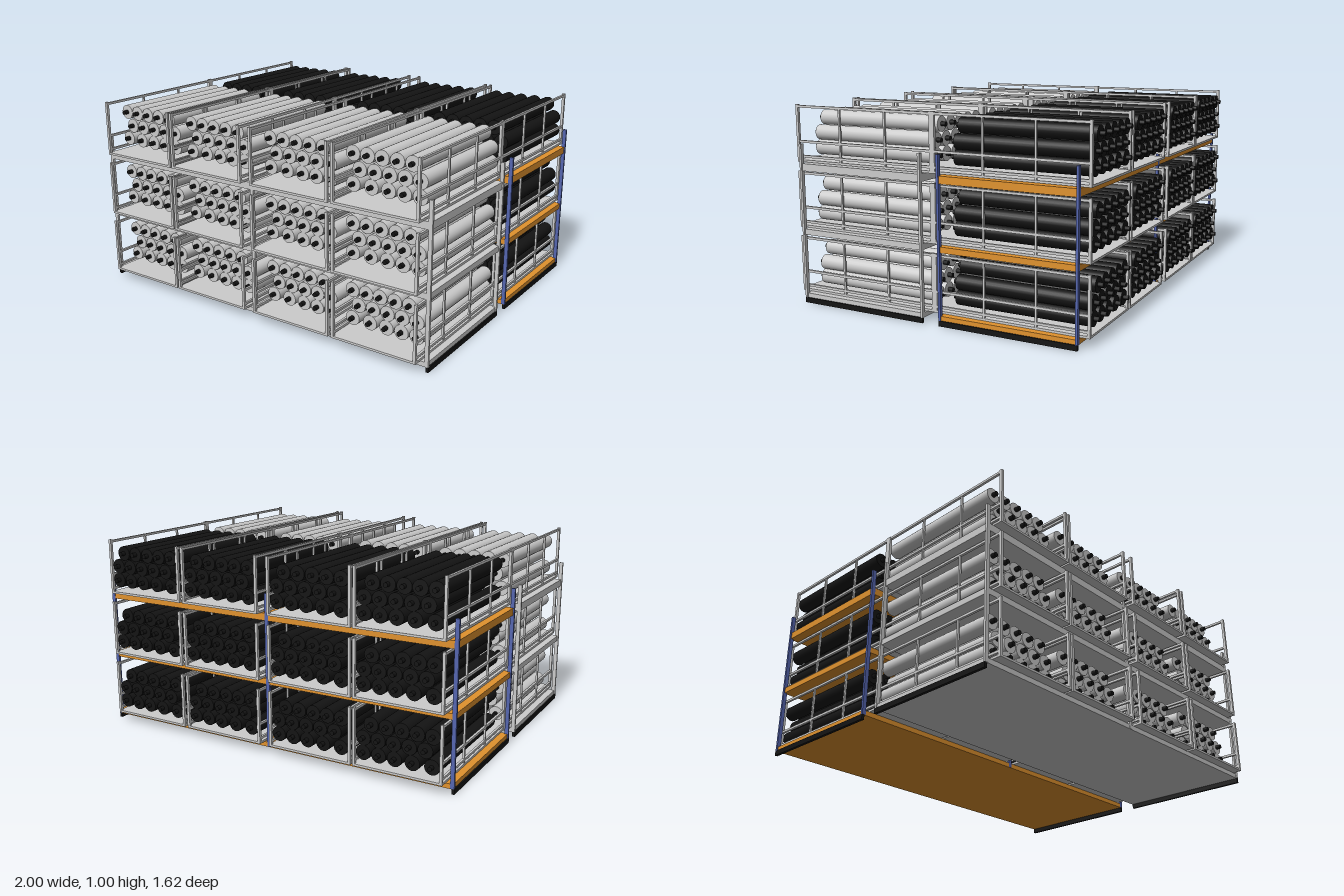
import * as THREE from 'three';
import { mergeGeometries } from 'three/addons/utils/BufferGeometryUtils.js';

const mat = (color) => new THREE.MeshStandardMaterial({ color });
const grey = mat(0xcccccc);
const black = mat(0x141414);
const orange = mat(0xe0922e);
const blue = mat(0x5566b0);

// Box given by its lower and upper corners
function block(x0, x1, y0, y1, z0, z1) {
  return new THREE.BoxGeometry(x1 - x0, y1 - y0, z1 - z0)
    .translate((x0 + x1) / 2, (y0 + y1) / 2, (z0 + z1) / 2);
}

function part(name, geometry, material) {
  const mesh = new THREE.Mesh(geometry, material);
  mesh.name = name;
  return mesh;
}

// Pipe rows: height above the cradle base and x offsets from the cradle centre
const ROWS = [
  { y: 0.076, xs: [-0.176, -0.079, 0.011, 0.092, 0.173] },
  { y: 0.149, xs: [-0.142, -0.063, 0.016, 0.095, 0.172] },
  { y: 0.220, xs: [-0.178, -0.101, -0.025, 0.054, 0.132] },
];

// Lying cylinders at every pipe position
function bundle(radius, length, sides) {
  const base = new THREE.CylinderGeometry(radius, radius, length, sides).rotateX(Math.PI / 2);
  const all = [];
  for (const { y, xs } of ROWS) for (const x of xs) all.push(base.clone().translate(x, y, 0));
  return mergeGeometries(all);
}

// Open-ended cradle, 0.8 long, standing on y = 0
const W = 0.229, L = 0.4, T = 0.014;
function cradleFrame() {
  const g = [block(-W, W, 0, 0.011, -L, L)];
  for (const s of [-1, 1]) {
    const xo = s * W, xi = s * (W - T);
    const a = Math.min(xo, xi), b = Math.max(xo, xi);
    // Corner posts and slimmer posts between
    for (const e of [-1, 1]) {
      const z = e * (L - T / 2);
      g.push(block(a, b, 0, 0.286, z - T / 2, z + T / 2));
      g.push(block(a + 0.002, b - 0.002, 0, 0.276, e * 0.133 - 0.005, e * 0.133 + 0.005));
    }
    // Side rails
    for (const y of [0.028, 0.102, 0.276]) {
      g.push(block(a + 0.001, b - 0.001, y - 0.006, y + 0.006, -L + T, L - T));
    }
  }
  return mergeGeometries(g);
}

export function createModel() {
  const model = new THREE.Group();
  model.name = 'pipeStorageRacks';

  const frame = cradleFrame();
  const pipes = bundle(0.0375, 0.69, 24);
  const cores = bundle(0.0115, 0.74, 10);

  const shelfY = [[0.024, 0.048], [0.352, 0.381], [0.675, 0.712]];
  const cradleX = [-0.728, -0.26, 0.254, 0.73];

  const racks = [
    { name: 'frontRack', z0: 0.053, z1: 0.763, cradleZ: 0.41, pipeZ: 0.36, shelf: grey, post: grey, pipe: grey },
    { name: 'backRack', z0: -0.747, z1: -0.037, cradleZ: -0.39, pipeZ: -0.44, shelf: orange, post: blue, pipe: black },
  ];

  for (const r of racks) {
    const rack = new THREE.Group();
    rack.name = r.name;

    // Feet strips under both ends
    for (const s of [-1, 1]) {
      const x = s * 0.993;
      rack.add(part('footStrip', block(x - 0.007, x + 0.007, 0, 0.026, r.z0, r.z1), black));
    }

    // Uprights at the ends and in the middle
    for (const x of [-0.989, 0, 0.989]) {
      for (const z of [r.z0 + 0.005, r.z1 - 0.005]) {
        rack.add(part('upright', block(x - 0.01, x + 0.01, 0.026, 0.81, z - 0.006, z + 0.006), r.post));
      }
    }

    shelfY.forEach(([y0, y1], level) => {
      rack.add(part('shelf', block(-0.993, 0.993, y0, y1, r.z0, r.z1), r.shelf));

      // Loaded cradles on this shelf
      for (const x of cradleX) {
        const cradle = new THREE.Group();
        cradle.name = 'loadedCradle';
        cradle.position.set(x, 0.049 + level * 0.3325, r.cradleZ);
        const load = part('pipes', pipes, r.pipe);
        const core = part('pipeCores', cores, black);
        load.position.z = core.position.z = r.pipeZ - r.cradleZ;
        cradle.add(part('cradleFrame', frame, grey), load, core);
        rack.add(cradle);
      }
    });
    model.add(rack);
  }
  return model;
}
